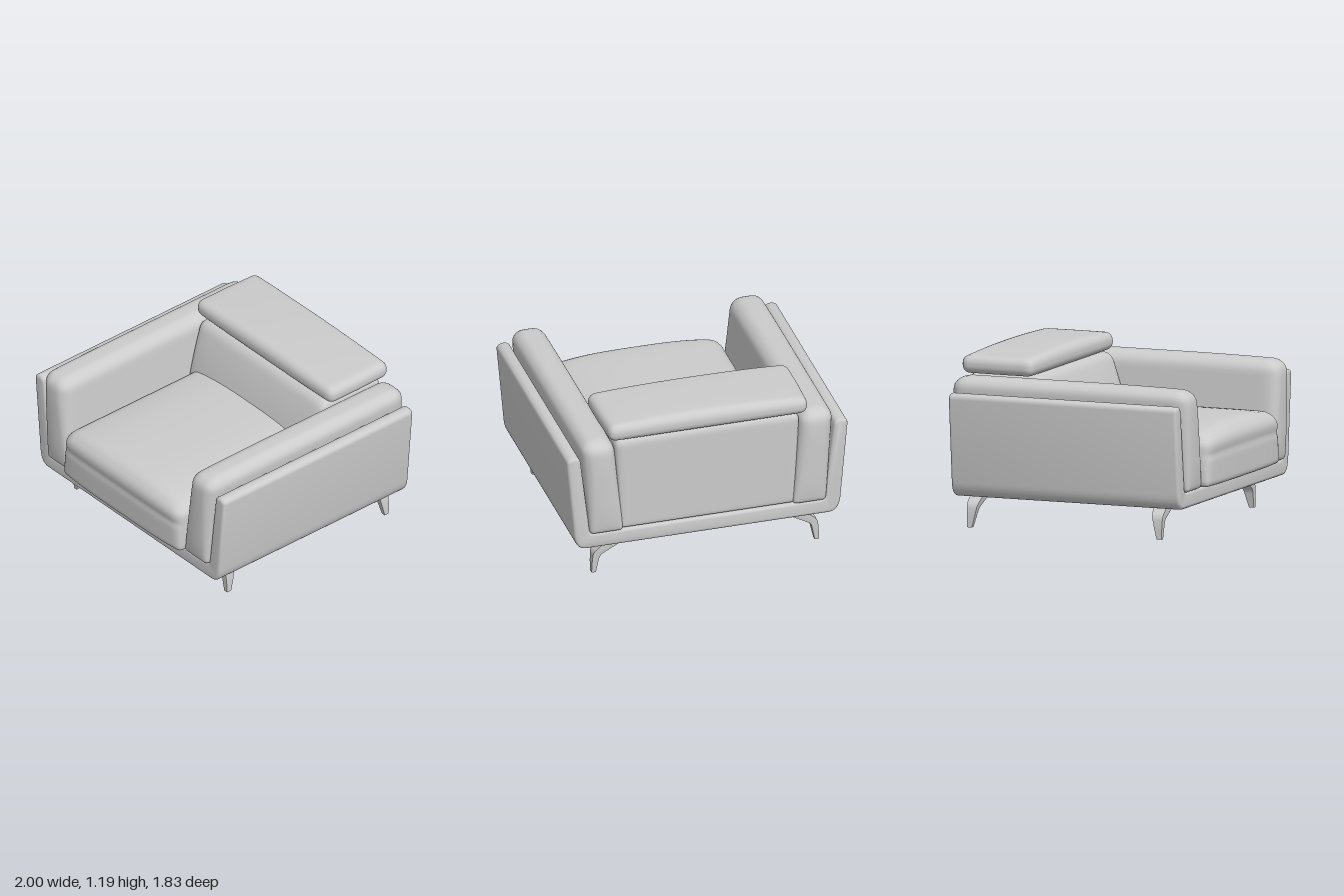
import * as THREE from 'three';
import { mergeVertices, toCreasedNormals } from 'three/addons/utils/BufferGeometryUtils.js';

const { lerp, clamp } = THREE.MathUtils;
const material = new THREE.MeshStandardMaterial({ color: 0xcccccc });

function addMesh(parent, name, geometry) {
  const mesh = new THREE.Mesh(geometry, material);
  mesh.name = name;
  parent.add(mesh);
  return mesh;
}

// Smooth padded block between two corners. The edge radius runs from rBottom to rTop;
// deform(p, u) moves each point, with u the position in the block from -1 to 1.
function cushion(min, max, rBottom, rTop, deform) {
  const size = max.map((v, i) => v - min[i]);
  const geo = new THREE.BoxGeometry(1, 1, 1, 28, 28, 28);
  geo.deleteAttribute('uv');
  geo.deleteAttribute('normal');
  const pos = geo.attributes.position;
  const p = new THREE.Vector3(), u = new THREE.Vector3();
  const half = new THREE.Vector3(...size).multiplyScalar(0.5);
  const inner = new THREE.Vector3();
  for (let i = 0; i < pos.count; i++) {
    u.fromBufferAttribute(pos, i);
    u.set(...u.toArray().map(v => Math.sin(v * Math.PI))); // denser rows near edges
    const r = lerp(rBottom, rTop, (u.y + 1) / 2);
    p.copy(u).multiply(half);
    inner.set(...['x', 'y', 'z'].map(a => clamp(p[a], r - half[a], half[a] - r)));
    p.sub(inner).normalize().multiplyScalar(r).add(inner);
    u.copy(p).divide(half);
    p.set(...p.toArray().map((v, k) => v + (min[k] + max[k]) / 2));
    deform(p, u);
    pos.setXYZ(i, p.x, p.y, p.z);
  }
  const smooth = mergeVertices(geo, 1e-5);
  smooth.computeVertexNormals();
  return smooth;
}

// U-shaped outer shell with flared sides
function shellGeometry() {
  const s = new THREE.Shape();
  s.moveTo(-0.86, 0.225);
  s.lineTo(0.86, 0.225);
  s.quadraticCurveTo(0.935, 0.225, 0.947, 0.33);
  s.lineTo(0.998, 0.9);
  s.quadraticCurveTo(1.0, 0.94, 0.95, 0.943);
  s.quadraticCurveTo(0.905, 0.943, 0.9, 0.9);
  s.lineTo(0.838, 0.37);
  s.quadraticCurveTo(0.835, 0.338, 0.8, 0.338);
  s.lineTo(-0.8, 0.338);
  s.quadraticCurveTo(-0.835, 0.338, -0.838, 0.37);
  s.lineTo(-0.9, 0.9);
  s.quadraticCurveTo(-0.905, 0.943, -0.95, 0.943);
  s.quadraticCurveTo(-1.0, 0.94, -0.998, 0.9);
  s.lineTo(-0.947, 0.33);
  s.quadraticCurveTo(-0.935, 0.225, -0.86, 0.225);
  const b = 0.022;
  const geo = new THREE.ExtrudeGeometry(s, {
    depth: 1.69 - 2 * b, curveSegments: 8,
    bevelThickness: b, bevelSize: b, bevelOffset: -b, bevelSegments: 4,
  });
  geo.translate(0, 0, -0.88 + b);
  return toCreasedNormals(geo, 0.7);
}

// Bent tapering leg, widening in depth towards the top; lean shifts the top along z
function legGeometry(side, z, lean) {
  const s = new THREE.Shape();
  s.moveTo(0.778 * side, 0);
  s.lineTo(0.808 * side, 0);
  s.lineTo(0.806 * side, 0.07);
  s.lineTo(0.8 * side, 0.135);
  s.quadraticCurveTo(0.795 * side, 0.16, 0.77 * side, 0.18);
  s.lineTo(0.7 * side, 0.235);
  s.lineTo(0.59 * side, 0.235);
  s.lineTo(0.6 * side, 0.215);
  s.lineTo(0.735 * side, 0.14);
  s.quadraticCurveTo(0.755 * side, 0.125, 0.76 * side, 0.09);
  s.lineTo(0.778 * side, 0);
  const b = 0.007;
  const geo = new THREE.ExtrudeGeometry(s, {
    depth: 1 - 2 * b, curveSegments: 5,
    bevelThickness: b, bevelSize: b, bevelOffset: -b, bevelSegments: 3,
  });
  geo.translate(0, 0, b - 0.5);
  const pos = geo.attributes.position;
  for (let i = 0; i < pos.count; i++) {
    const t = pos.getY(i) / 0.225;
    const k = clamp(pos.getZ(i) * 2, -1, 1);
    // round the depth faces around the bevel and taper towards the foot
    pos.setZ(i, z + lean * t + k * lerp(0.018, 0.05, t));
  }
  return toCreasedNormals(geo, 0.6);
}

export function createModel() {
  const model = new THREE.Group();
  model.name = 'armchair';

  addMesh(model, 'outerShell', shellGeometry());

  // Padded arms, leaning outwards with slightly swollen ends
  for (const side of [1, -1]) {
    const name = side > 0 ? 'left' : 'right';
    addMesh(model, name + 'Arm', cushion(
      [side * 0.72 - 0.12, 0.338, -0.9], [side * 0.72 + 0.12, 1.035, 0.835], 0.03, 0.085,
      (p, u) => {
        const t = (u.y + 1) / 2;
        p.x += side * 0.06 * t;
        p.z += Math.sign(u.z) * 0.02 * (1 - u.x * u.x) * Math.abs(u.z) ** 6 * (1 - u.y ** 4);
        p.y += 0.008 * (1 - u.x * u.x) * t - 0.01 * t * Math.max(0, u.z) ** 3;
      }));

    // Front and back legs
    addMesh(model, name + 'FrontLeg', legGeometry(side, 0.603, -0.025));
    addMesh(model, name + 'BackLeg', legGeometry(side, -0.802, 0.022));
  }

  // Seat cushion: crowned top, bowed front with a soft seam below the roll
  addMesh(model, 'seatCushion', cushion(
    [-0.62, 0.345, -0.5], [0.62, 0.69, 0.885], 0.035, 0.09,
    (p, u) => {
      const t = (u.y + 1) / 2, front = Math.max(0, u.z) ** 8;
      p.y += 0.06 * t * t * (1 - Math.abs(u.x) ** 3) * (1 - 0.45 * Math.max(0, u.z) ** 10);
      p.z += 0.025 * front * (1 - u.x ** 4);
      p.z -= 0.008 * front * Math.exp(-(((u.y - 0.25) / 0.12) ** 2));
    }));

  // Backrest: front slopes back, sides widen upwards
  addMesh(model, 'backrest', cushion(
    [-0.62, 0.345, -0.885], [0.62, 1.035, -0.2], 0.03, 0.06,
    (p, u) => {
      const t = (u.y + 1) / 2;
      p.x *= 1 + 0.065 * t;
      const f = (u.z + 1) / 2;
      p.z -= 0.17 * f * t ** 1.5;
      p.z += 0.02 * f * (1 - u.x ** 4) * (1 - u.y * u.y);
      p.y += 0.012 * t * (1 - u.x ** 4);
    }));

  // Headrest pad: flat below, gently domed above
  addMesh(model, 'headrest', cushion(
    [-0.715, 1.04, -0.915], [0.715, 1.162, -0.38], 0.055, 0.055,
    (p, u) => {
      const t = (u.y + 1) / 2;
      p.y += 0.024 * t * (1 - u.x * u.x) * (1 - 0.5 * u.z ** 4);
      p.x *= 1 + 0.012 * (u.z < 0 ? u.z : 0);
      p.z += 0.008 * Math.max(0, u.z) * (1 - u.x ** 4);
    }));

  return model;
}
